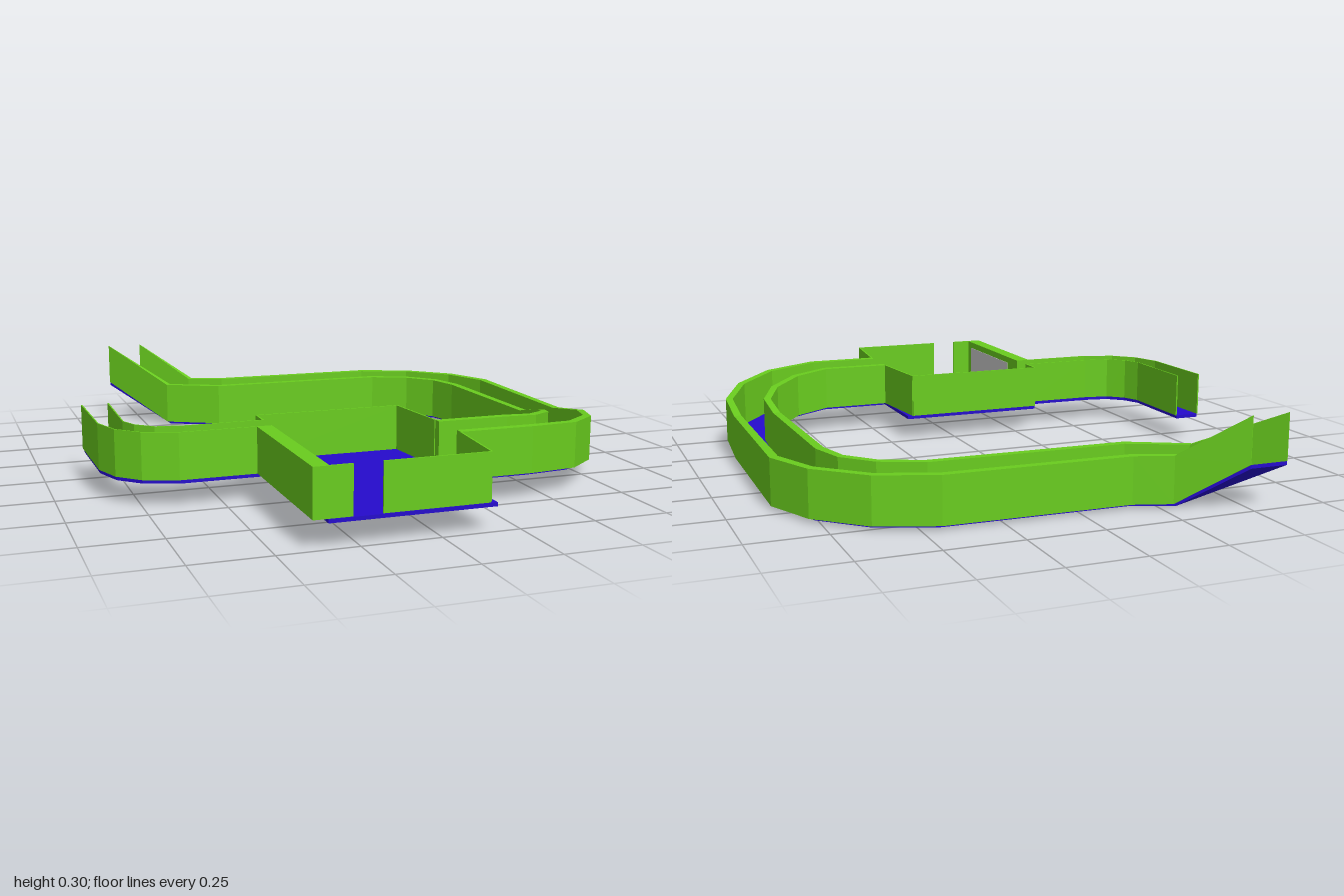
import * as THREE from 'three';

const green = new THREE.MeshStandardMaterial({ color: 0x69cc1e, flatShading: true, side: THREE.DoubleSide });
const blue = new THREE.MeshStandardMaterial({ color: 0x250bcc, flatShading: true, side: THREE.DoubleSide });
const grey = new THREE.MeshStandardMaterial({ color: 0xcccccc, side: THREE.DoubleSide });

const WALL = 0.152;   // wall height above the floor
const SLAB = 0.012;   // floor thickness

// Loft a four-cornered section through a list of stations, with end caps
function loft(sections) {
  const pos = sections.flat(2), idx = [];
  const n = sections.length;
  for (let s = 0; s < n - 1; s++) {
    for (let k = 0; k < 4; k++) {
      const a = s * 4 + k, b = s * 4 + (k + 1) % 4;
      idx.push(a, b, b + 4, a, b + 4, a + 4);
    }
  }
  const e = (n - 1) * 4;
  idx.push(0, 2, 1, 0, 3, 2, e, e + 1, e + 2, e, e + 2, e + 3);
  const g = new THREE.BufferGeometry();
  g.setAttribute('position', new THREE.Float32BufferAttribute(pos, 3));
  g.setIndex(idx);
  const flat = g.toNonIndexed();
  flat.computeVertexNormals();
  return flat;
}

// Trough with a floor and two walls.
// Station: [outerX, outerZ, innerX, innerZ, floorY, wall share of the width]
function trough(name, stations) {
  const group = new THREE.Group();
  group.name = name;
  const part = (label, mat, from, to, low, high) => {
    const sections = stations.map(([ox, oz, ix, iz, y, t]) => {
      const at = (f, h) => {
        const u = f === 0 || f === 3 ? f / 3 : f === 1 ? t : 1 - t;
        return [ox + (ix - ox) * u, y + h, oz + (iz - oz) * u];
      };
      return [at(from, low), at(to, low), at(to, high), at(from, high)];
    });
    const mesh = new THREE.Mesh(loft(sections), mat);
    mesh.name = label;
    group.add(mesh);
  };
  part('outerWall', green, 0, 1, 0, WALL);
  part('floor', blue, 1, 2, -SLAB, 0);
  part('innerWall', green, 2, 3, 0, WALL);
  return group;
}

// Thin upright wall between two plan points
function wall(name, x0, z0, x1, z1, thick = 0.006) {
  const mesh = new THREE.Mesh(new THREE.BoxGeometry(Math.hypot(x1 - x0, z1 - z0), WALL, thick), green);
  mesh.name = name;
  mesh.position.set((x0 + x1) / 2, 0.087 + WALL / 2, (z0 + z1) / 2);
  mesh.rotation.y = -Math.atan2(z1 - z0, x1 - x0);
  return mesh;
}

function box(name, mat, x0, x1, y0, y1, z0, z1) {
  const mesh = new THREE.Mesh(new THREE.BoxGeometry(x1 - x0, y1 - y0, z1 - z0), mat);
  mesh.name = name;
  mesh.position.set((x0 + x1) / 2, (y0 + y1) / 2, (z0 + z1) / 2);
  return mesh;
}

export function createModel() {
  const model = new THREE.Group();
  model.name = 'corridorMap';

  // Long corridor: leaves the room, drops round the bend, ends in a ramp
  const t = 0.155;
  model.add(trough('longCorridor', [
    [0.18, 0.73, 0.18, 0.54, 0.087, t],
    [0.43, 0.73, 0.42, 0.54, 0.087, t],
    [0.62, 0.67, 0.54, 0.50, 0.075, t],
    [0.76, 0.53, 0.64, 0.40, 0.058, t],
    [0.84, 0.35, 0.69, 0.29, 0.038, t],
    [0.845, 0.17, 0.683, 0.17, SLAB, t],
    [0.855, -0.45, 0.67, -0.38, SLAB, t],
    [0.78, -0.62, 0.64, -0.50, SLAB, t],
    [0.63, -0.76, 0.56, -0.59, SLAB, t],
    [0.44, -0.83, 0.43, -0.65, SLAB, t],
    [-0.17, -0.84, -0.23, -0.66, SLAB, t],
    [-0.29, -0.88, -0.42, -0.76, SLAB, 0.12],
    [-0.48, -1.0, -0.61, -1.0, 0.146, 0.01],
  ]));

  // Short level corridor with thin walls
  const s = 0.05, y = 0.087;
  model.add(trough('shortCorridor', [
    [-0.34, 0.45, -0.34, 0.355, y, s],
    [-0.64, 0.45, -0.60, 0.355, y, s],
    [-0.75, 0.41, -0.69, 0.34, y, s],
    [-0.82, 0.34, -0.745, 0.29, y, s],
    [-0.855, 0.235, -0.77, 0.23, y, s],
    [-0.86, -0.08, -0.765, -0.08, y, s],
  ]));

  // Room
  const room = new THREE.Group();
  room.name = 'room';
  room.add(
    box('roomFloor', blue, -0.345, 0.175, 0.075, 0.087, 0.28, 0.997),
    wall('backWall', -0.345, 0.28, 0.155, 0.28),
    wall('backRightWall', -0.343, 0.28, -0.343, 0.357),
    wall('backLeftWall', 0.155, 0.28, 0.18, 0.54),
    wall('frontLeftWall', 0.18, 0.73, 0.155, 0.99),
    wall('frontWall', -0.18, 0.99, 0.155, 0.99),
    wall('doorSideWall', -0.39, 0.99, -0.27, 0.99),
    wall('thickRightWall', -0.365, 0.45, -0.365, 0.99, 0.05),
    box('wallPanel', grey, -0.342, -0.338, 0.10, 0.215, 0.54, 0.95),
  );
  model.add(room);
  return model;
}
